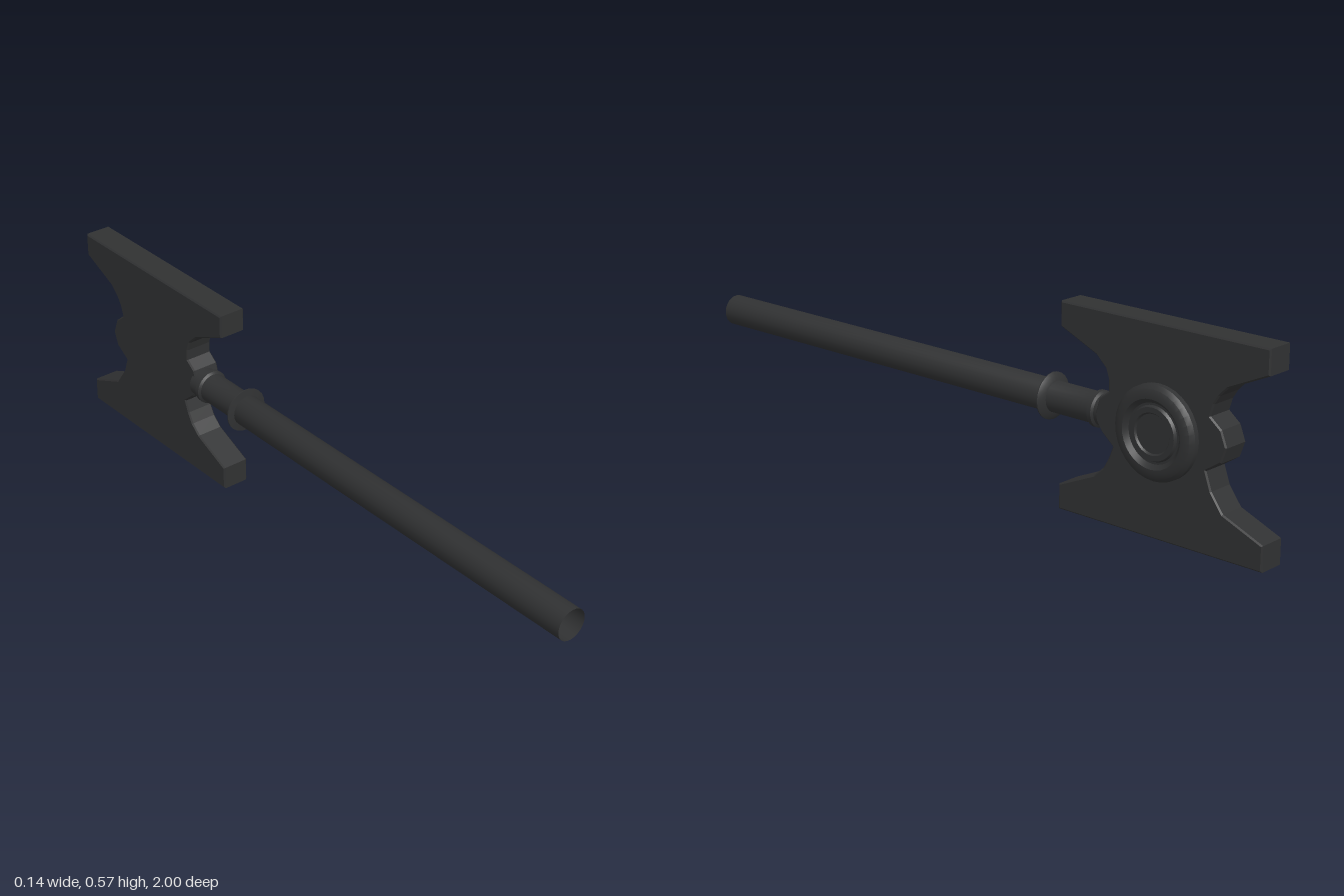
import * as THREE from 'three';
import { toCreasedNormals } from 'three/addons/utils/BufferGeometryUtils.js';

const AXIS_Y = 0.288; // height of the handle and medallion centres
const SHAFT_X = -0.008;

// Lathe from [radius, height] pairs, with sharp edges kept
function lathe(points, segments) {
  const profile = points.map(([r, h]) => new THREE.Vector2(r, h));
  return toCreasedNormals(new THREE.LatheGeometry(profile, segments), 0.5);
}

export function createModel() {
  const group = new THREE.Group();
  const iron = new THREE.MeshStandardMaterial({ color: 0x303132, side: THREE.DoubleSide });
  iron.name = 'darkIron';

  function add(name, geometry) {
    const mesh = new THREE.Mesh(geometry, iron);
    mesh.name = name;
    group.add(mesh);
    return mesh;
  }

  // Head: waisted plate outline as [z, y], extruded across x
  const outline = [
    [-0.345, 0], [-0.345, 0.07], [-0.465, 0.123], [-0.495, 0.15], [-0.512, 0.18],
    [-0.525, 0.214], [-0.487, 0.246], [-0.47, 0.27], [-0.465, 0.29], [-0.478, 0.335],
    [-0.508, 0.358], [-0.507, 0.39], [-0.497, 0.418], [-0.465, 0.448], [-0.345, 0.5],
    [-0.345, 0.568], [-1, 0.568], [-1, 0.5], [-0.88, 0.445], [-0.855, 0.42],
    [-0.84, 0.396], [-0.83, 0.363], [-0.865, 0.335], [-0.882, 0.292], [-0.867, 0.25],
    [-0.822, 0.22], [-0.84, 0.17], [-0.877, 0.12], [-1, 0.07], [-1, 0],
  ];
  const bevel = 0.004;
  const shape = new THREE.Shape(outline.map(([z, y]) => new THREE.Vector2(-z, y)));
  const headGeometry = new THREE.ExtrudeGeometry(shape, {
    depth: 0.082 - 2 * bevel, bevelEnabled: true, bevelSegments: 1,
    bevelSize: bevel, bevelThickness: bevel, bevelOffset: -bevel,
  });
  headGeometry.translate(0, 0, bevel - 0.041).rotateY(Math.PI / 2);
  add('hammerHead', headGeometry);

  // Round medallion with a groove and a raised boss on the left face
  const medallion = add('medallion', lathe([
    [0.127, 0.035], [0.127, 0.056], [0.117, 0.067], [0.103, 0.072], [0.092, 0.072],
    [0.08, 0.06], [0.074, 0.06], [0.07, 0.068], [0.056, 0.068], [0.052, 0.063], [0, 0.063],
  ], 32));
  medallion.rotation.z = -Math.PI / 2;
  medallion.position.set(0, AXIS_Y, -0.672);

  // Handle parts run along z
  function addHandlePart(name, points) {
    const mesh = add(name, lathe(points, 24));
    mesh.rotation.x = Math.PI / 2;
    mesh.position.set(SHAFT_X, AXIS_Y, 0);
  }

  // Open tube handle, slightly slimmer at the neck
  addHandlePart('handle', [
    [0.044, -0.485], [0.043, -0.43], [0.043, -0.285], [0.045, -0.28], [0.045, 1],
  ]);

  // Thin guard flange and a small collar near the head
  addHandlePart('guardFlange', [
    [0.043, -0.292], [0.055, -0.288], [0.065, -0.281], [0.065, -0.278], [0.045, -0.275],
  ]);
  addHandlePart('neckCollar', [
    [0.043, -0.455], [0.05, -0.45], [0.05, -0.438], [0.043, -0.433],
  ]);

  return group;
}
